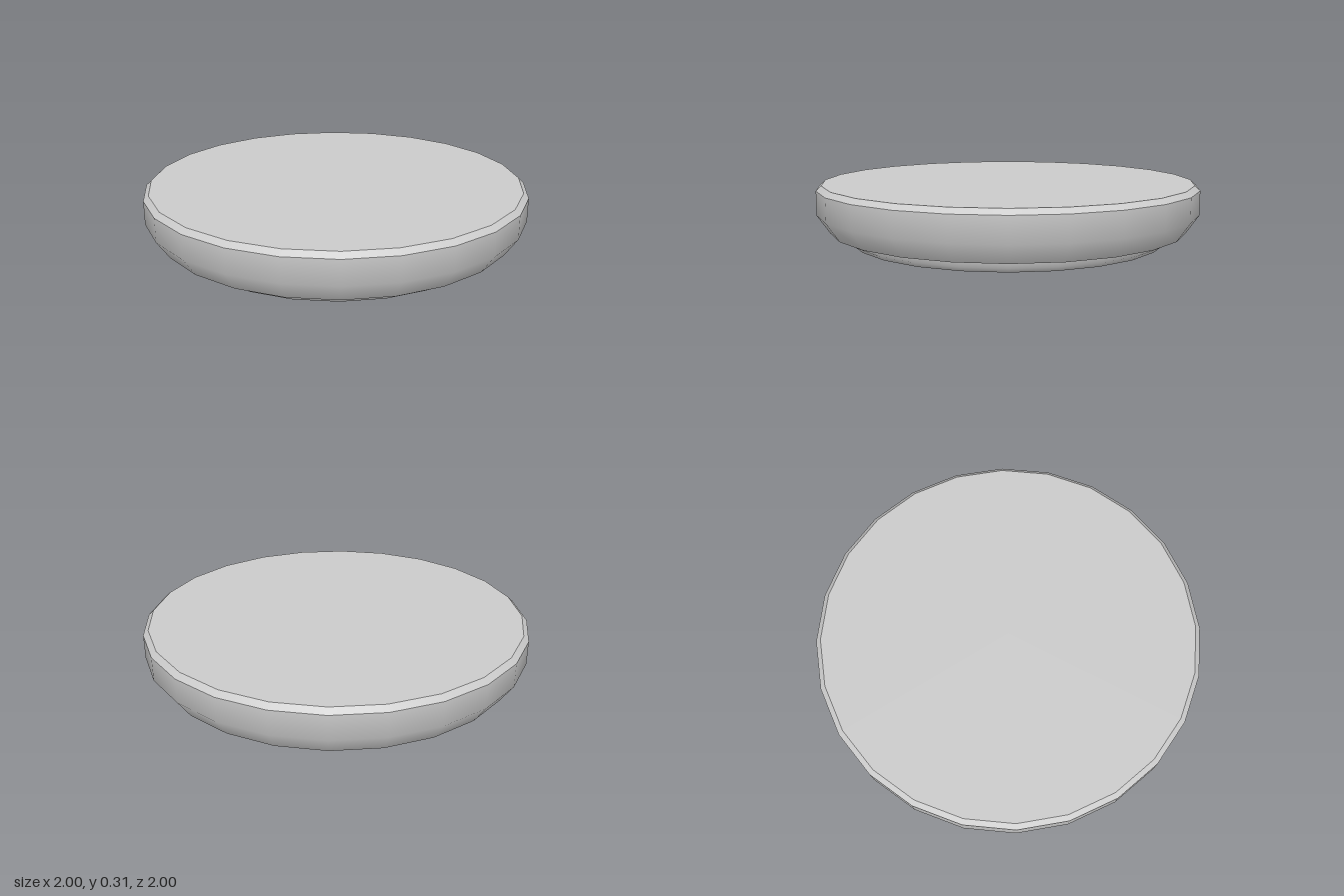
import * as THREE from 'three';

const SIDES = 24;
const material = new THREE.MeshStandardMaterial({ color: 0xcccccc });

// One smooth band of revolution; separate bands keep the edges between them sharp.
// Points run from the bottom centre, outwards and up, to the top centre.
function band(name, points) {
  const profile = points.map(([r, y]) => new THREE.Vector2(r, y));
  const mesh = new THREE.Mesh(new THREE.LatheGeometry(profile, SIDES), material);
  mesh.name = name;
  return mesh;
}

// Flat disc closing the top or the bottom
function cap(name, radius, y, up) {
  const geometry = new THREE.CircleGeometry(radius, SIDES);
  geometry.rotateX(up ? -Math.PI / 2 : Math.PI / 2);
  geometry.translate(0, y, 0);
  const mesh = new THREE.Mesh(geometry, material);
  mesh.name = name;
  return mesh;
}

export function createModel() {
  const model = new THREE.Group();
  model.name = 'roundDisc';

  // Narrow foot with a bevelled lower edge
  const foot = new THREE.Group();
  foot.name = 'foot';
  foot.add(
    cap('footBottom', 0.82, 0, false),
    band('footWall', [[0.82, 0], [0.85, 0.025], [0.85, 0.065]])
  );

  // Wide body: flat underside, tapered wall, thin top bevel and flat top
  const body = new THREE.Group();
  body.name = 'body';
  body.add(
    band('underside', [[0.85, 0.065], [0.935, 0.065]]),
    band('wall', [[0.935, 0.065], [1, 0.16], [1, 0.285]]),
    band('topBevel', [[1, 0.285], [0.973, 0.31]]),
    cap('top', 0.973, 0.31, true)
  );

  model.add(foot, body);
  return model;
}
